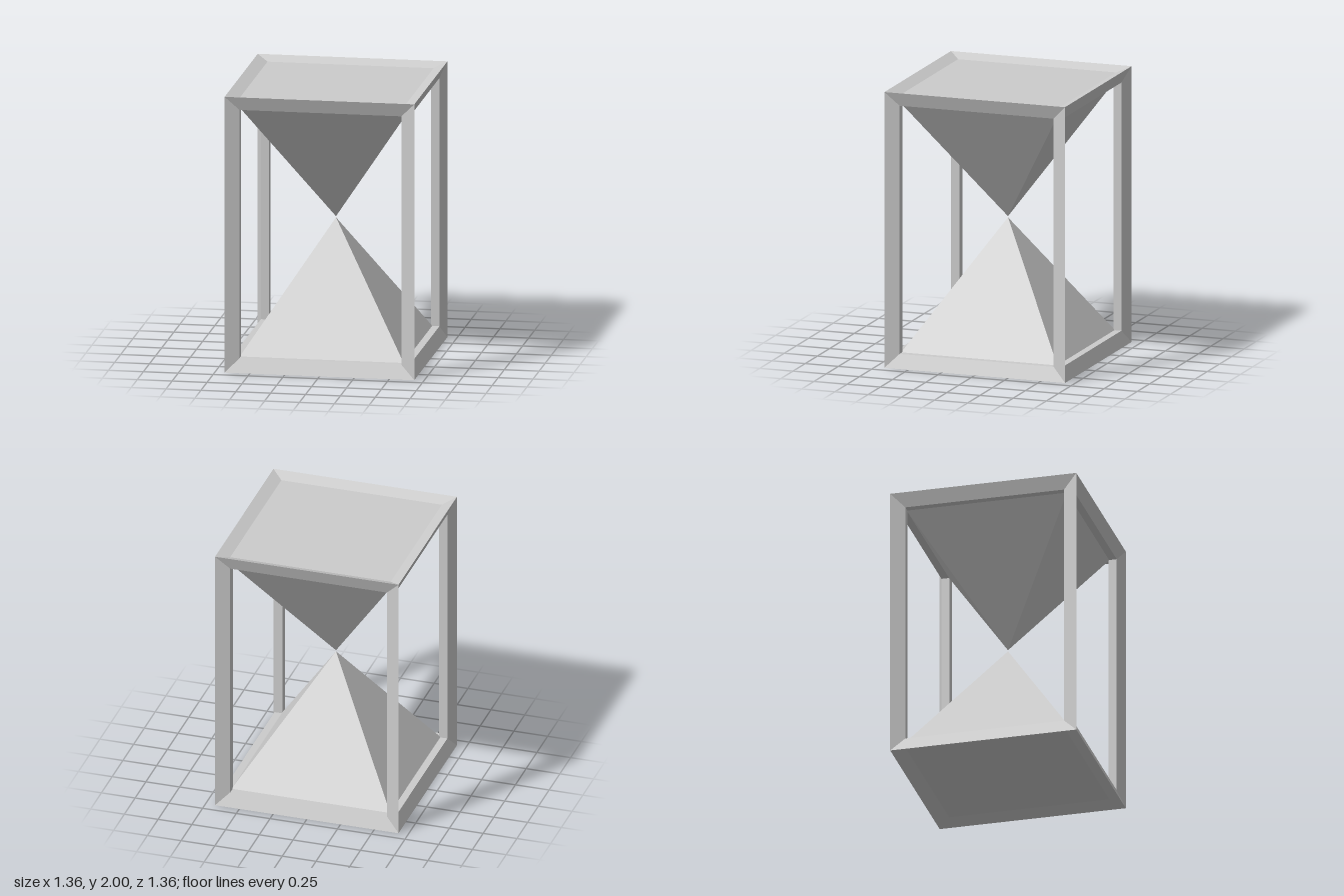
import * as THREE from 'three';

const HALF = [0.68, 1, 0.68]; // half extents of the frame
const RIM = 0.1;              // width of each beam
const DIP = 0.04;             // how far the sloped faces sink inwards

// One side of the frame: a sloped rim followed by the walls of the opening.
function frameSide(axis, sign, material) {
  const u = (axis + 1) % 3, v = (axis + 2) % 3;
  const corners = [[-1, -1], [1, -1], [1, 1], [-1, 1]];
  const loop = (inset, depth) => corners.map(([a, b]) => {
    const p = [0, 0, 0];
    p[axis] = sign * (HALF[axis] - depth);
    p[u] = a * (HALF[u] - inset);
    p[v] = b * (HALF[v] - inset);
    return p;
  });
  const loops = [loop(0, 0), loop(RIM, DIP), loop(RIM, RIM)];
  const positions = [];
  for (let i = 0; i < 2; i++) {
    for (let k = 0; k < 4; k++) {
      const n = (k + 1) % 4;
      const a = loops[i][k], b = loops[i][n], c = loops[i + 1][n], d = loops[i + 1][k];
      const tris = sign > 0 ? [a, b, c, a, c, d] : [a, c, b, a, d, c];
      positions.push(...tris.flat());
    }
  }
  const geometry = new THREE.BufferGeometry();
  geometry.setAttribute('position', new THREE.Float32BufferAttribute(positions, 3));
  geometry.computeVertexNormals();
  return new THREE.Mesh(geometry, material);
}

// Square pyramid whose base closes one end of the frame.
function pyramid(name, upper, material) {
  const height = 0.96, halfBase = 0.628;
  const geometry = new THREE.ConeGeometry(halfBase * Math.SQRT2, height, 4);
  geometry.rotateY(Math.PI / 4);
  if (upper) geometry.rotateX(Math.PI);
  const mesh = new THREE.Mesh(geometry, material);
  mesh.name = name;
  mesh.position.y = upper ? 1.963 - 0.957 + height / 2 : 0.038 + height / 2;
  return mesh;
}

export function createModel() {
  const model = new THREE.Group();
  model.name = 'hourglass';
  const material = new THREE.MeshStandardMaterial({ color: 0xcccccc, flatShading: true });

  // Open box frame with mitred, inward sloping beams
  const frame = new THREE.Group();
  frame.name = 'frame';
  frame.position.y = 1;
  const names = [['leftSide', 'rightSide'], ['topSide', 'bottomSide'], ['frontSide', 'backSide']];
  names.forEach((pair, axis) => pair.forEach((name, i) => {
    const side = frameSide(axis, i ? -1 : 1, material);
    side.name = name;
    frame.add(side);
  }));
  model.add(frame);

  // Two pyramids meeting tip to tip
  model.add(pyramid('lowerPyramid', false, material));
  model.add(pyramid('upperPyramid', true, material));
  return model;
}
